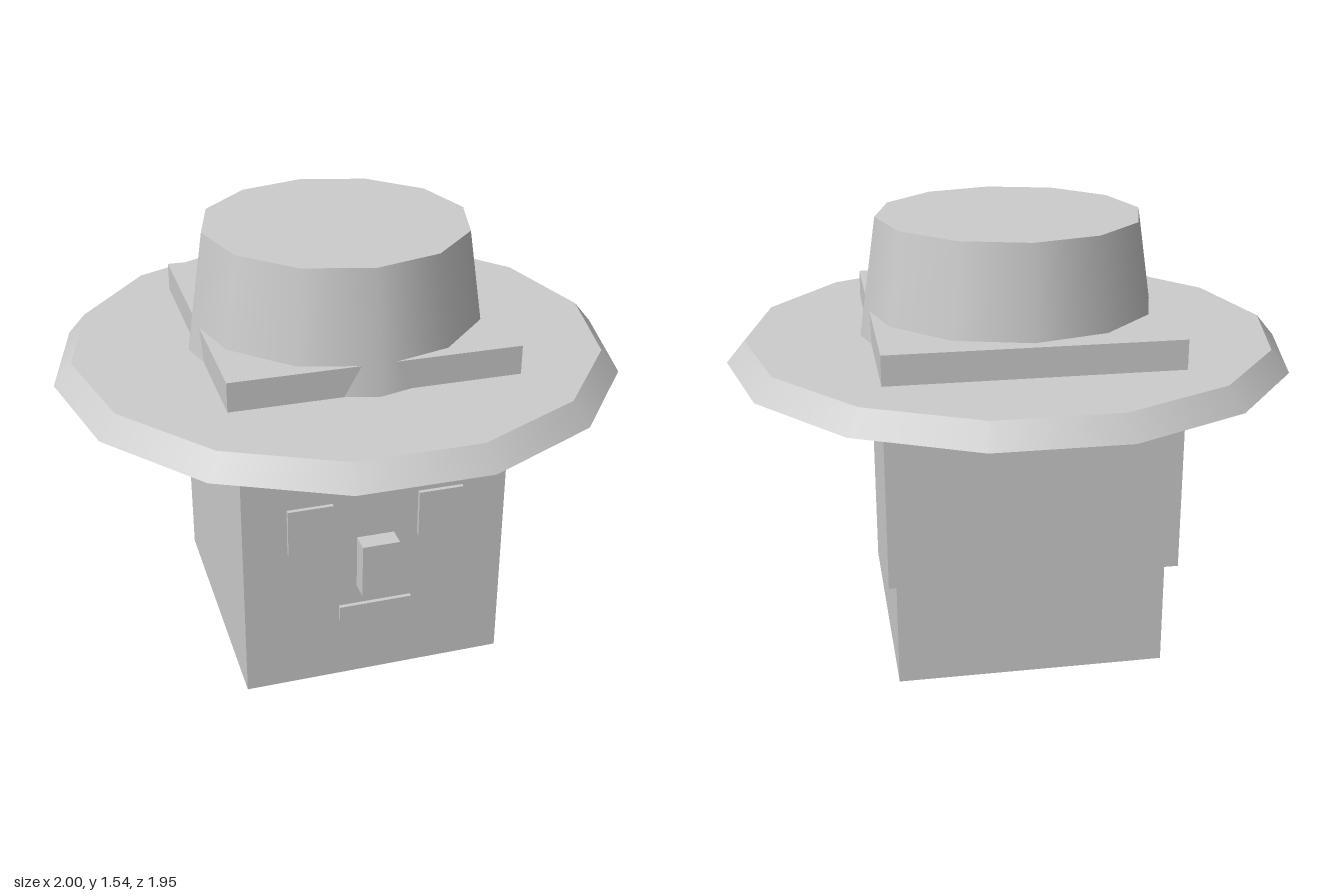
import * as THREE from 'three';

export function createModel() {
  const group = new THREE.Group();
  const grey = new THREE.MeshStandardMaterial({ color: 0xcccccc });
  grey.name = 'plain grey';

  const add = (name, geometry) => {
    const mesh = new THREE.Mesh(geometry, grey);
    mesh.name = name;
    group.add(mesh);
    return mesh;
  };

  // Box given by its lower and upper corners
  const addBox = (name, [x0, y0, z0], [x1, y1, z1]) =>
    add(name, new THREE.BoxGeometry(x1 - x0, y1 - y0, z1 - z0))
      .position.set((x0 + x1) / 2, (y0 + y1) / 2, (z0 + z1) / 2);

  // Tapered hat ring with a corner pointing to +x
  const addTaper = (name, topRadius, bottomRadius, y0, y1, sides) => {
    const mesh = add(name, new THREE.CylinderGeometry(topRadius, bottomRadius, y1 - y0, sides));
    mesh.rotation.y = Math.PI / 2;
    mesh.position.y = (y0 + y1) / 2;
  };

  // Head and face
  addBox('head', [-0.47, 0, -0.5], [0.47, 0.96, 0.5]);
  addBox('rightEye', [-0.315, 0.55, 0.49], [-0.155, 0.72, 0.515]);
  addBox('leftEye', [0.15, 0.55, 0.49], [0.31, 0.72, 0.515]);
  addBox('nose', [-0.068, 0.37, 0.49], [0.065, 0.57, 0.568]);
  addBox('mouth', [-0.133, 0.243, 0.49], [0.13, 0.297, 0.515]);

  // Hair: flat cap with a longer back, as a side profile (z, y)
  const profile = new THREE.Shape([
    [0.5, 0.96], [0.5, 1.22], [-0.56, 1.22], [-0.56, 0.4], [-0.4, 0.4], [-0.4, 0.96],
  ].map(([z, y]) => new THREE.Vector2(z, y)));
  const hair = new THREE.ExtrudeGeometry(profile, { depth: 1, bevelEnabled: false });
  add('hair', hair.rotateY(-Math.PI / 2).translate(0.5, 0, 0));

  // Hat
  addTaper('hatBrim', 0.935, 1, 1.04, 1.117, 14);
  addTaper('hatCrown', 0.467, 0.532, 1.11, 1.537, 12);

  return group;
}
